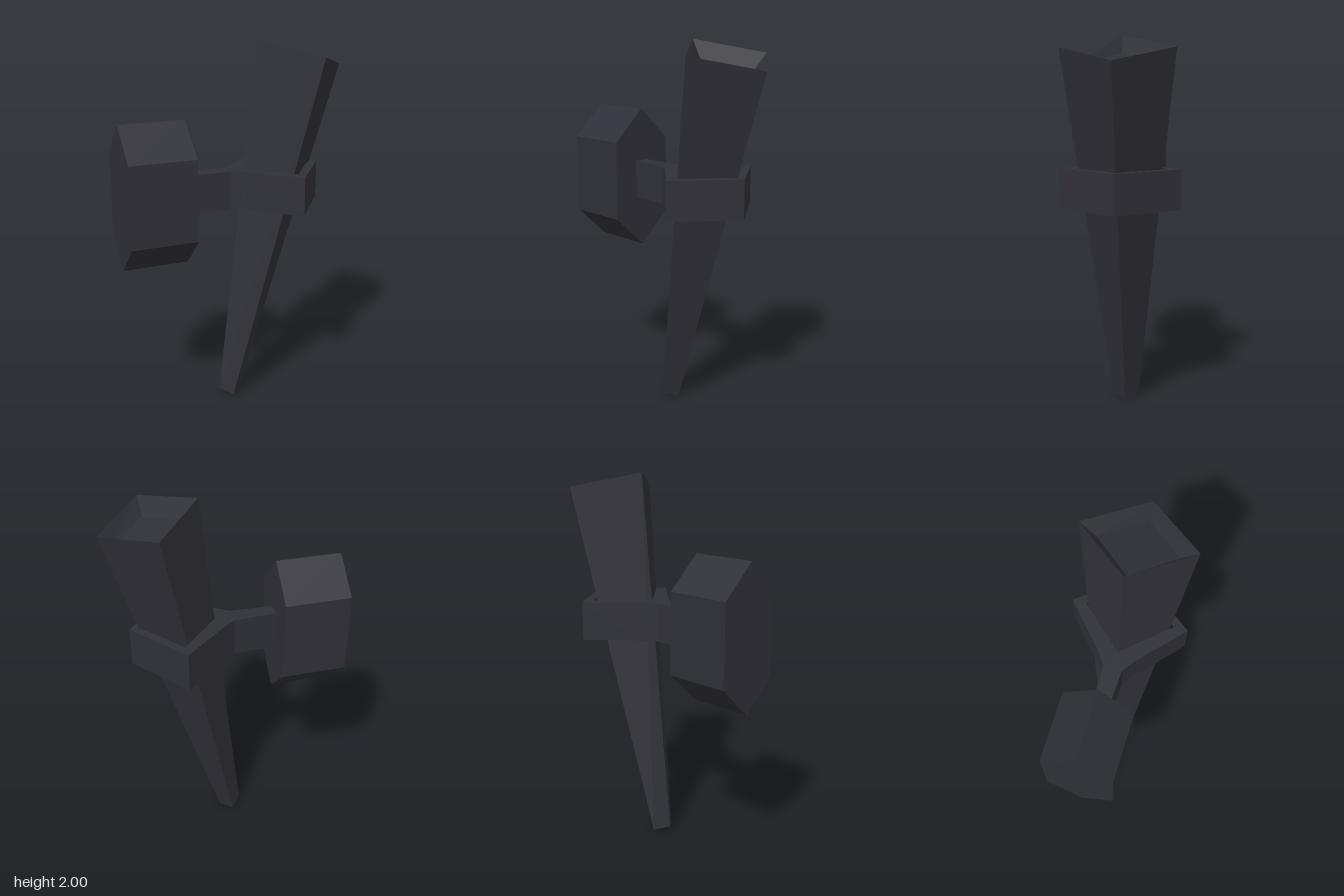
import * as THREE from 'three';

const darkIron = new THREE.MeshStandardMaterial({ color: 0x2f2f37 });
darkIron.name = 'darkIron';

// Tilted diamond ring of four corners: left, front, right, back
function diamond(x, y, halfX, halfZ, drop) {
  return [[x - halfX, y + drop, 0], [x, y, halfZ], [x + halfX, y - drop, 0], [x, y, -halfZ]];
}

// Skin a list of four-cornered rings and cap both ends, with flat faces
function loft(rings) {
  const pos = [];
  const quad = (a, b, c, d) => pos.push(...a, ...b, ...c, ...a, ...c, ...d);
  for (let r = 0; r < rings.length - 1; r++) {
    for (let i = 0; i < 4; i++) {
      const j = (i + 1) % 4;
      quad(rings[r][i], rings[r][j], rings[r + 1][j], rings[r + 1][i]);
    }
  }
  const first = rings[0], last = rings[rings.length - 1];
  quad(first[3], first[2], first[1], first[0]);
  quad(last[0], last[1], last[2], last[3]);
  const geo = new THREE.BufferGeometry();
  geo.setAttribute('position', new THREE.Float32BufferAttribute(pos, 3));
  geo.computeVertexNormals();
  return geo;
}

function outline(points, Type = THREE.Shape) {
  return new Type(points.map(([x, y]) => new THREE.Vector2(x, y)));
}

function extrude(shape, depth) {
  return new THREE.ExtrudeGeometry(shape, { depth, bevelEnabled: false });
}

export function createModel() {
  const model = new THREE.Group();
  model.name = 'wallTorch';
  const add = (name, geo) => {
    const mesh = new THREE.Mesh(geo, darkIron);
    mesh.name = name;
    model.add(mesh);
  };

  // Leaning tapered shaft with a shallow hollow in its top
  add('torchShaft', loft([
    diamond(-0.03, 0.02, 0.06, 0.07, 0.017),
    diamond(0.375, 1.93, 0.245, 0.285, 0.07),
    diamond(0.37, 1.85, 0.185, 0.2, 0.053),
  ]));

  // Flat arm that flares into a diamond ring around the shaft
  const side = [[-0.29, 0.04], [-0.04, 0.05], [0.03, 0.1], [0.265, 0.31]];
  const mirrored = side.map(([x, z]) => [x, -z]).reverse();
  const bracket = outline([...side, [0.5, 0], ...mirrored]);
  bracket.holes.push(outline([[0.05, 0], [0.265, 0.235], [0.44, 0], [0.265, -0.235]], THREE.Path));
  const bracketGeo = extrude(bracket, 0.205);
  bracketGeo.rotateX(-Math.PI / 2).translate(0, 1.13, 0);
  add('holderBracket', bracketGeo);

  // Tall hexagonal wall mount
  const mount = outline([[0, 0.385], [-0.18, 0.215], [-0.18, -0.215], [0, -0.385], [0.18, -0.215], [0.18, 0.215]]);
  const mountGeo = extrude(mount, 0.355);
  mountGeo.rotateY(Math.PI / 2).translate(-0.625, 1.235, 0);
  add('wallMount', mountGeo);

  return model;
}
